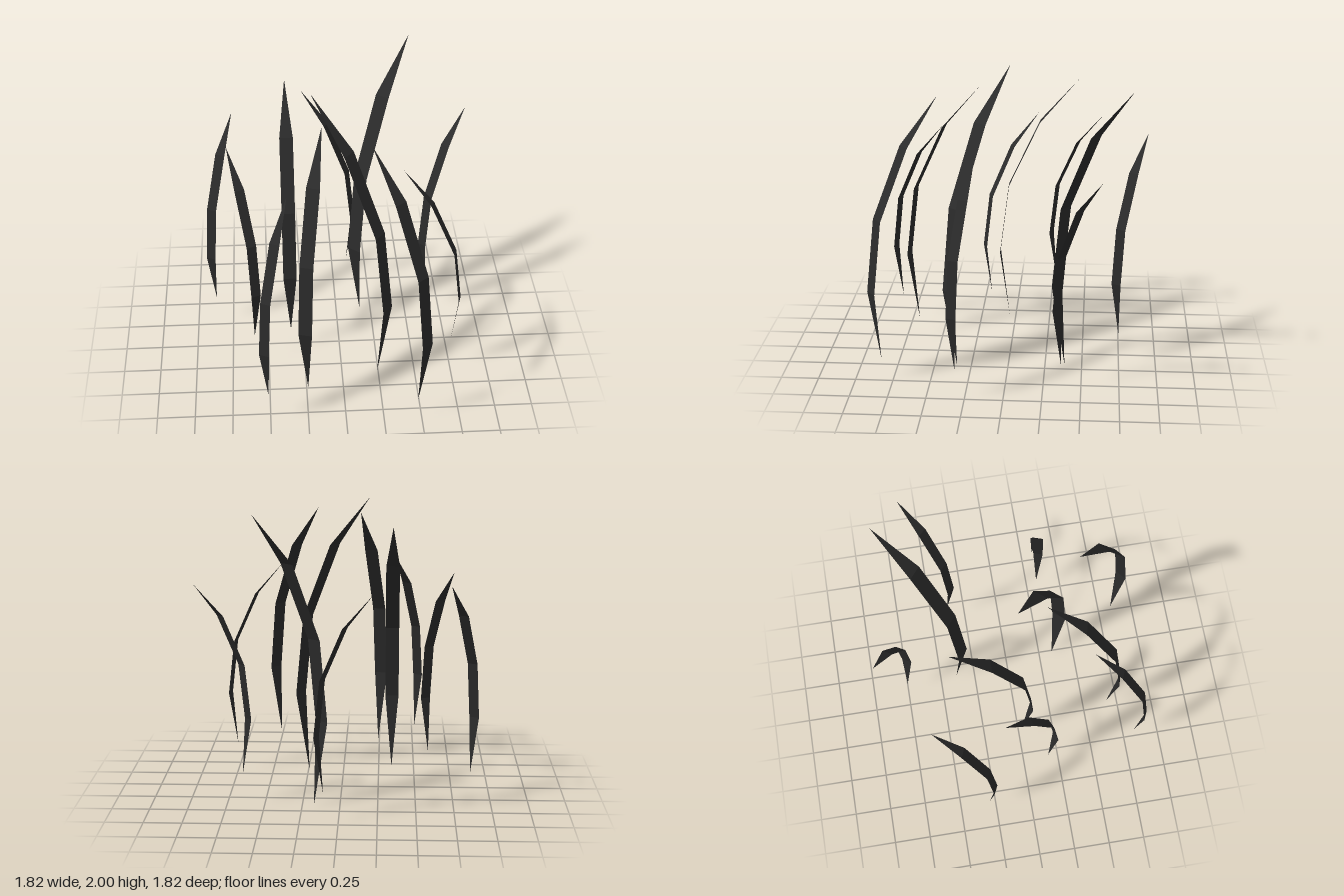
import * as THREE from 'three';

// Side profile of a full-size blade: [lean distance, height, half width]
const PROFILE = [
  [0.076, 0, 0],
  [0, 0.56, 0.052],
  [0.07, 1.125, 0.052],
  [0.318, 1.655, 0.052],
  [0.62, 2, 0],
];

// Size classes: overall scale and height of the root
const LARGE = { scale: 1, lift: 0 };
const MEDIUM = { scale: 0.864, lift: 0.142 };
const SMALL = { scale: 0.662, lift: 0.207 };

// Each blade: size, x/z of its outermost bulge, x/z of its tip
const BLADES = [
  [LARGE, 0.124, -0.324, 0.52, -0.798],
  [LARGE, 0.302, 0.393, -0.183, 0.01],
  [MEDIUM, -0.34, 0.09, -0.34, -0.44],
  [MEDIUM, -0.261, 0.722, -0.122, 0.205],
  [MEDIUM, 0.515, 0.876, 0.178, 0.463],
  [SMALL, 0.139, -0.72, -0.217, -0.917],
  [SMALL, 0.607, -0.337, 0.907, -0.613],
  [SMALL, -0.883, -0.251, -0.705, -0.62],
  [SMALL, -0.573, 0.215, -0.739, -0.158],
  [SMALL, 0.793, 0.327, 0.398, 0.198],
  [SMALL, -0.53, 0.854, -0.354, 0.476],
];

// Flat bent strip that leans along +z, pointed at root and tip
function bladeGeometry() {
  const positions = [];
  const index = [];
  for (const [lean, y, half] of PROFILE) positions.push(-half, y, lean, half, y, lean);
  const last = PROFILE.length - 2;
  for (let i = 0; i <= last; i++) {
    const a = i * 2;
    if (i > 0) index.push(a, a + 2, a + 1);
    if (i < last) index.push(a + 1, a + 2, a + 3);
  }
  const geometry = new THREE.BufferGeometry();
  geometry.setAttribute('position', new THREE.Float32BufferAttribute(positions, 3));
  geometry.setIndex(index);
  geometry.computeVertexNormals();
  return geometry;
}

export function createModel() {
  const group = new THREE.Group();
  group.name = 'grassTuft';
  const geometry = bladeGeometry();
  const material = new THREE.MeshStandardMaterial({
    color: 0x2b2b2b, flatShading: true, side: THREE.DoubleSide,
  });

  BLADES.forEach(([size, x, z, tipX, tipZ], i) => {
    const blade = new THREE.Mesh(geometry, material);
    blade.name = `grassBlade${i + 1}`;
    blade.position.set(x, size.lift, z);
    blade.rotation.y = Math.atan2(tipX - x, tipZ - z);
    blade.scale.setScalar(size.scale);
    group.add(blade);
  });
  return group;
}
